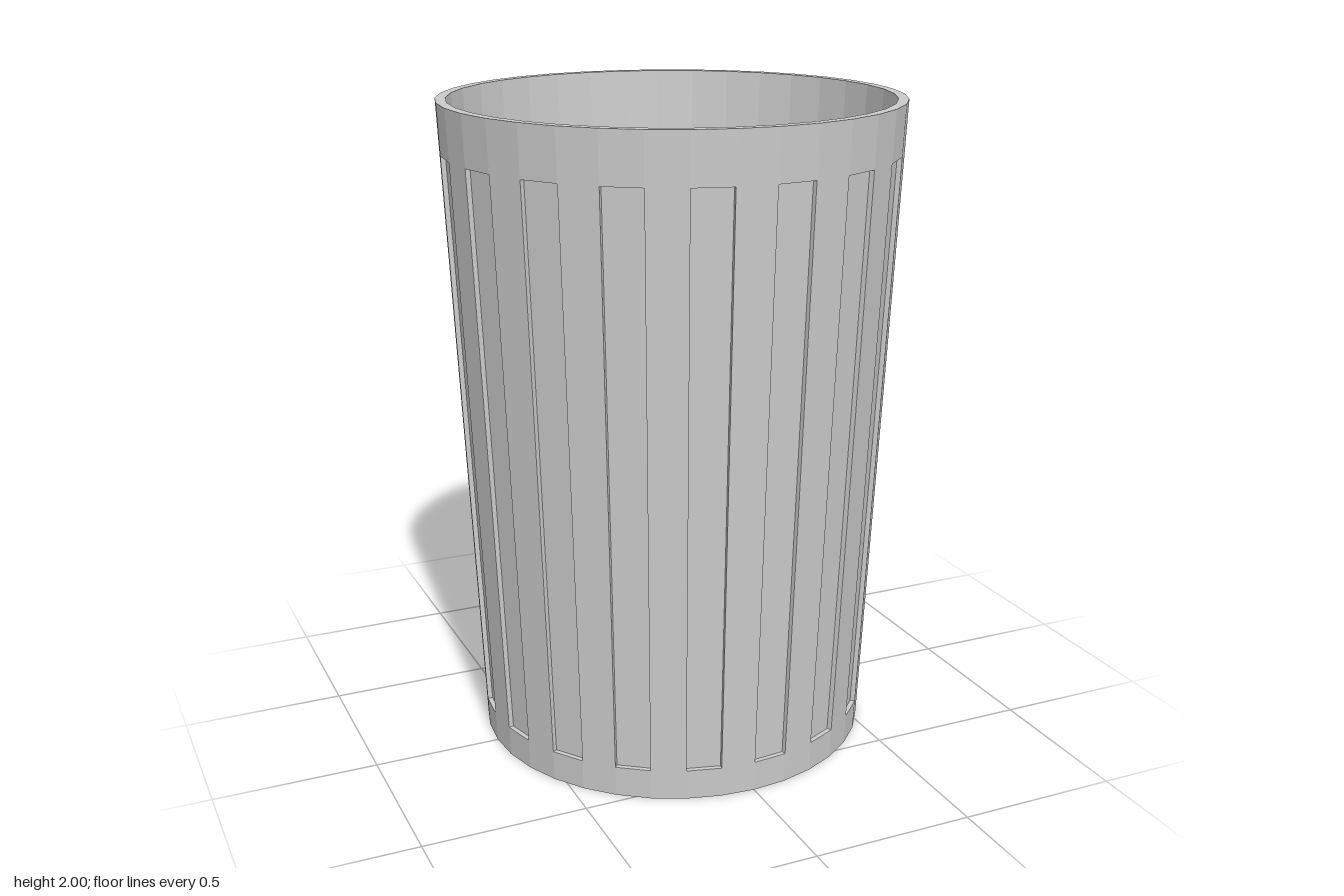
import * as THREE from 'three';

const SIDES = 36;
const HEIGHT = 2, R_BOTTOM = 0.607, R_TOP = 0.697;
const WALL = 0.031, FLOOR_Y = 0.04, HOLE_R = 0.04;
const PANEL_LOW = 0.095, PANEL_HIGH = 1.847, PANEL_DEPTH = 0.015;

const radiusAt = (y) => R_BOTTOM + (R_TOP - R_BOTTOM) * (y / HEIGHT);

// Point on the tapered wall at facet corner i, sunk inwards by inset
function wallPoint(i, y, inset) {
  const a = (i / SIDES) * Math.PI * 2;
  const r = radiusAt(y) - inset;
  return [r * Math.sin(a), y, r * Math.cos(a)];
}

function flatten(geometry) {
  const flat = geometry.index ? geometry.toNonIndexed() : geometry;
  flat.computeVertexNormals();
  return flat;
}

// Rim band, inside, floor with drain hole, underside and base band in one open profile
function bodyGeometry() {
  const profile = [
    [radiusAt(PANEL_HIGH), PANEL_HIGH],
    [R_TOP, HEIGHT],
    [R_TOP - WALL, HEIGHT],
    [radiusAt(FLOOR_Y) - WALL, FLOOR_Y],
    [HOLE_R, FLOOR_Y],
    [HOLE_R, 0],
    [R_BOTTOM, 0],
    [radiusAt(PANEL_LOW), PANEL_LOW],
  ].map(([r, y]) => new THREE.Vector2(r, y));
  return flatten(new THREE.LatheGeometry(profile, SIDES));
}

// Every second facet is a sunken panel, the others are ribs
function flutedGeometry() {
  const positions = [];
  // corners anticlockwise as seen from the front of the face
  const quad = (a, b, c, d) => positions.push(...a, ...b, ...c, ...a, ...c, ...d);

  for (let i = 0; i < SIDES; i++) {
    const sunken = i % 2 === 0;
    const inset = sunken ? PANEL_DEPTH : 0;
    const a = wallPoint(i, PANEL_LOW, inset);
    const b = wallPoint(i + 1, PANEL_LOW, inset);
    const c = wallPoint(i + 1, PANEL_HIGH, inset);
    const d = wallPoint(i, PANEL_HIGH, inset);
    quad(a, b, c, d);
    if (!sunken) continue;

    // Four narrow edges around the panel
    const A = wallPoint(i, PANEL_LOW, 0);
    const B = wallPoint(i + 1, PANEL_LOW, 0);
    const C = wallPoint(i + 1, PANEL_HIGH, 0);
    const D = wallPoint(i, PANEL_HIGH, 0);
    quad(A, B, b, a);
    quad(B, C, c, b);
    quad(C, D, d, c);
    quad(D, A, a, d);
  }
  const geometry = new THREE.BufferGeometry();
  geometry.setAttribute('position', new THREE.Float32BufferAttribute(positions, 3));
  return flatten(geometry);
}

export function createModel() {
  const model = new THREE.Group();
  model.name = 'taperedBin';
  const material = new THREE.MeshStandardMaterial({ color: 0xcccccc, flatShading: true });

  const body = new THREE.Mesh(bodyGeometry(), material);
  body.name = 'rimFloorAndBase';
  const panels = new THREE.Mesh(flutedGeometry(), material);
  panels.name = 'panelledWall';

  model.add(body, panels);
  return model;
}
